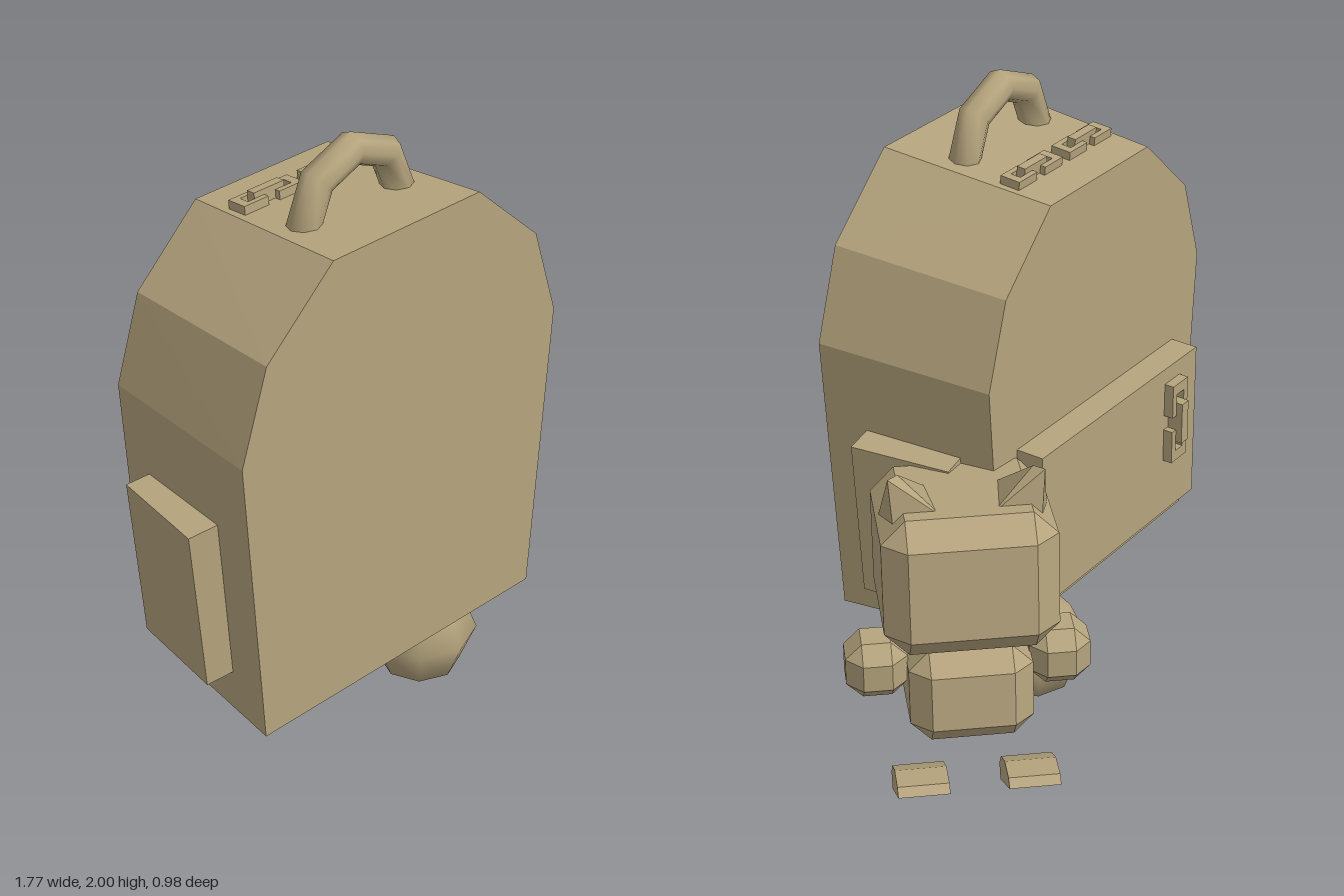
import * as THREE from 'three';
import { ConvexGeometry } from 'three/addons/geometries/ConvexGeometry.js';

const tan = new THREE.MeshStandardMaterial({ color: 0xb5a47d });
tan.name = 'tan';

function add(parent, name, geometry, x = 0, y = 0, z = 0) {
  const mesh = new THREE.Mesh(geometry, tan);
  mesh.name = name;
  mesh.position.set(x, y, z);
  parent.add(mesh);
  return mesh;
}

const hull = (points) => new ConvexGeometry(points.map((p) => new THREE.Vector3(...p)));

// Box of half sizes hx, hy, hz with every edge cut by b
function chamferBox(hx, hy, hz, b) {
  const points = [];
  for (const x of [-1, 1]) for (const y of [-1, 1]) for (const z of [-1, 1]) {
    points.push([x * hx, y * (hy - b), z * (hz - b)]);
    points.push([x * (hx - b), y * hy, z * (hz - b)]);
    points.push([x * (hx - b), y * (hy - b), z * hz]);
  }
  return hull(points);
}

function extrude(points, depth) {
  const shape = new THREE.Shape(points.map(([x, y]) => new THREE.Vector2(x, y)));
  return new THREE.ExtrudeGeometry(shape, { depth, bevelEnabled: false });
}

// Buckle of two open clasps joined by a raised bar, lying along x
function buckle(name) {
  const group = new THREE.Group();
  group.name = name;
  const clasp = extrude([
    [0.108, -0.033], [0.108, 0.033], [0.02, 0.033], [0.02, 0.016],
    [0.08, 0.016], [0.08, -0.016], [0.02, -0.016], [0.02, -0.033],
  ], 0.035).rotateX(-Math.PI / 2);
  for (const turn of [0, Math.PI]) add(group, 'clasp', clasp, 0, -0.01, 0).rotation.y = turn;
  add(group, 'claspBar', new THREE.BoxGeometry(0.11, 0.045, 0.028), 0, 0.018, 0);
  return group;
}

function createBackpack() {
  const pack = new THREE.Group();
  pack.name = 'backpack';
  const cx = -0.225, cy = 1.085;

  // Main shell, tapering toward the back
  const half = [[0.54, 0.37], [0.607, 1.3], [0.515, 1.58], [0.275, 1.8]];
  const points = [];
  for (const [x, y] of half) for (const s of [-1, 1]) {
    points.push([cx + s * x, y, 0.46]);
    points.push([cx + s * x * 0.91, cy + (y - cy) * 0.937, -0.11]);
  }
  add(pack, 'shell', hull(points));

  // Back pocket and its upright buckle
  add(pack, 'backPocket', new THREE.BoxGeometry(0.835, 0.515, 0.12), cx, 0.785, -0.14);
  const upright = buckle('pocketBuckle');
  upright.position.set(-0.505, 0.855, -0.2);
  upright.rotation.set(-Math.PI / 2, 0, Math.PI / 2, 'ZYX');
  upright.scale.setScalar(1.25);
  pack.add(upright);

  // Side pockets lean with the shell
  for (const s of [-1, 1]) {
    const pocket = add(pack, 'sidePocket', new THREE.BoxGeometry(0.14, 0.52, 0.32),
      cx + s * 0.553, 0.78, 0.16);
    pocket.rotation.set(0, s * 0.15, -s * 0.085);
  }

  // Carrying handle and top buckles
  add(pack, 'handle', new THREE.TorusGeometry(0.18, 0.049, 8, 4, Math.PI), cx, 1.77, 0.243);
  for (const s of [-1, 1]) {
    const top = buckle('topBuckle');
    top.position.set(cx + s * 0.127, 1.768, 0.043);
    top.rotation.x = -0.079;
    pack.add(top);
  }

  // Round charms hanging below on small hoops
  for (const [x, z] of [[0.1, 0.22], [-0.065, 0.02]]) {
    add(pack, 'charm', new THREE.SphereGeometry(0.176, 8, 4), x, 0.176, z);
    const hoop = add(pack, 'charmHoop',
      new THREE.TorusGeometry(0.075, 0.023, 6, 4, Math.PI), x, 0.41, z);
    hoop.rotation.z = Math.PI;
    add(pack, 'charmStem', new THREE.CylinderGeometry(0.024, 0.024, 0.06, 6), x, 0.335, z);
  }
  return pack;
}

function createCat() {
  const cat = new THREE.Group();
  cat.name = 'plushCat';
  cat.position.set(0.47, 0, -0.12);
  cat.rotation.y = 2.32;

  // Head and ears, leaning back a little
  const head = new THREE.Group();
  head.name = 'head';
  head.position.y = 0.83;
  head.rotation.x = -0.1;
  cat.add(head);
  add(head, 'headBlock', chamferBox(0.25, 0.21, 0.25, 0.07));
  for (const s of [-1, 1]) {
    add(head, 'ear', hull([
      [s * 0.24, 0.15, 0], [s * 0.09, 0.19, -0.07], [s * 0.07, 0.19, 0.13], [s * 0.21, 0.17, 0.13],
      [s * 0.17, 0.27, 0.03], [s * 0.19, 0.315, 0.1], [s * 0.22, 0.315, 0.13],
    ]));
  }

  // Torso and paws
  const torso = add(cat, 'torso', chamferBox(0.18, 0.145, 0.17, 0.06), 0, 0.445, 0.04);
  torso.rotation.x = -0.1;
  for (const s of [-1, 1]) {
    add(cat, 'hand', chamferBox(0.09, 0.09, 0.09, 0.048), s * 0.266, 0.515, 0.04);
    const foot = extrude([
      [0, 0], [0.25, 0], [0.235, 0.03], [0.16, 0.07], [0.06, 0.075], [0, 0.05],
    ], 0.15);
    foot.center().rotateY(-Math.PI / 2);
    add(cat, 'foot', foot, s * 0.16, 0.21, 0.21).rotation.x = -0.54;
  }
  return cat;
}

export function createModel() {
  const model = new THREE.Group();
  model.name = 'backpackWithPlush';
  model.add(createBackpack(), createCat());
  return model;
}
